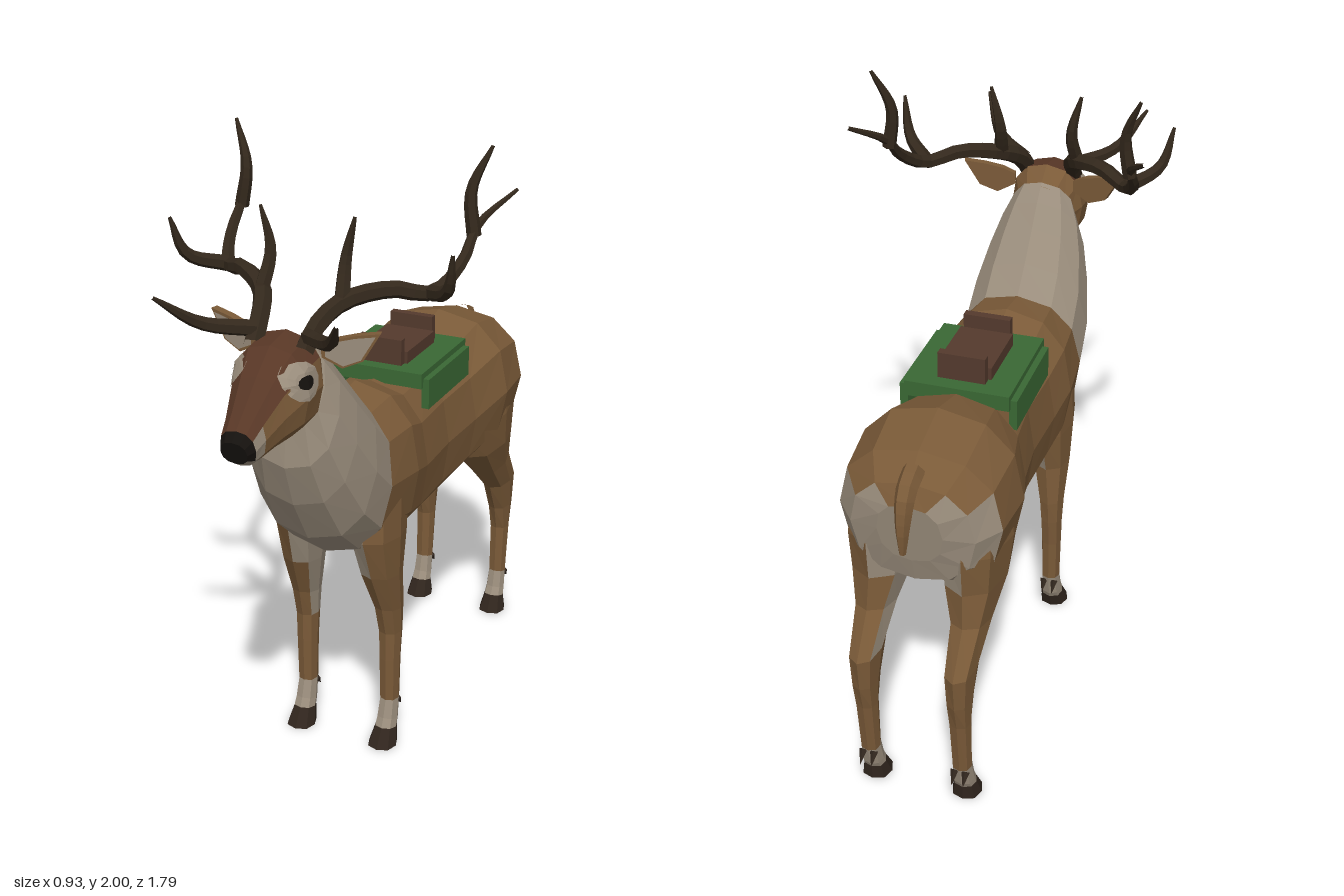
import * as THREE from 'three';

const mat = (name, color) => {
  const m = new THREE.MeshStandardMaterial({ color, flatShading: true });
  m.name = name;
  return m;
};
const coat = mat('coat', 0x7a5a38), cream = mat('cream', 0x9a8d7c), mask = mat('mask', 0x583726);
const horn = mat('horn', 0x33281c), hoof = mat('hoof', 0x30251d), black = mat('black', 0x15110e);
const cloth = mat('cloth', 0x3a6834), wood = mat('wood', 0x543a2d);

// Skin over rings. Section: [z1, y1, z2, y2, halfWidth, xCentre]; the ring spans point 1 to point 2.
// pick(segment, centroid, side) gives the material of each face.
function loft(name, sections, sides, pick, power = 0.85) {
  const pw = v => Math.sign(v) * Math.abs(v) ** power;
  const rings = sections.map(([z1, y1, z2, y2, w, xc = 0]) =>
    Array.from({ length: sides }, (_, j) => {
      const a = (j / sides) * Math.PI * 2, c = pw(Math.cos(a)) / 2;
      return new THREE.Vector3(xc + w * pw(Math.sin(a)), (y1 + y2) / 2 + (y1 - y2) * c, (z1 + z2) / 2 + (z1 - z2) * c);
    }));
  const tris = [];
  const mid = ps => ps.reduce((s, p) => s.add(p), new THREE.Vector3()).divideScalar(ps.length);
  const last = rings.length - 1;
  for (let i = 0; i < last; i++) {
    for (let j = 0; j < sides; j++) {
      const k = (j + 1) % sides;
      const [a, b, c, d] = [rings[i][j], rings[i][k], rings[i + 1][k], rings[i + 1][j]];
      const m = pick(i, mid([a, b, c, d]), j);
      tris.push([m, a, b, c], [m, a, c, d]);
    }
  }
  // End caps
  const c0 = mid(rings[0]), c1 = mid(rings[last]);
  for (let j = 0; j < sides; j++) {
    const k = (j + 1) % sides;
    tris.push([pick(-1, c0, j), c0, rings[0][k], rings[0][j]]);
    tris.push([pick(last, c1, j), c1, rings[last][j], rings[last][k]]);
  }
  // Turn all faces outward
  const volume = tris.reduce((s, [, a, b, c]) => s + a.clone().sub(c0).dot(b.clone().sub(c0).cross(c.clone().sub(c0))), 0);
  const mats = [...new Set(tris.map(t => t[0]))];
  const geo = new THREE.BufferGeometry(), pts = [];
  mats.forEach((m, n) => {
    const start = pts.length;
    for (const [tm, a, b, c] of tris) if (tm === m) pts.push(a, ...(volume < 0 ? [c, b] : [b, c]));
    geo.addGroup(start, pts.length - start, n);
  });
  geo.setFromPoints(pts);
  geo.computeVertexNormals();
  const mesh = new THREE.Mesh(geo, mats);
  mesh.name = name;
  return mesh;
}

// Tapered tube through points
function horned(name, points, r0, r1, material, n = 12) {
  const curve = new THREE.CatmullRomCurve3(points.map(p => new THREE.Vector3(...p)));
  const sides = 6, geo = new THREE.TubeGeometry(curve, n, r0, sides);
  const pos = geo.attributes.position, v = new THREE.Vector3();
  for (let i = 0; i <= n; i++) {
    const t = i / n, centre = curve.getPointAt(t), scale = 1 + (r1 / r0 - 1) * t ** 1.8;
    for (let j = 0; j <= sides; j++) {
      const q = i * (sides + 1) + j;
      v.fromBufferAttribute(pos, q).sub(centre).multiplyScalar(scale).add(centre);
      pos.setXYZ(q, v.x, v.y, v.z);
    }
  }
  const flat = geo.toNonIndexed();
  flat.computeVertexNormals();
  const mesh = new THREE.Mesh(flat, material);
  mesh.name = name;
  return mesh;
}

function box(name, w, h, d, x, y, z, material) {
  const mesh = new THREE.Mesh(new THREE.BoxGeometry(w, h, d), material);
  mesh.position.set(x, y, z);
  mesh.name = name;
  return mesh;
}

const BODY = [
  [-0.83, 1.09, -0.8, 0.88, 0.1], [-0.8, 1.15, -0.78, 0.8, 0.19], [-0.72, 1.21, -0.72, 0.76, 0.25],
  [-0.55, 1.25, -0.55, 0.72, 0.262], [-0.38, 1.2, -0.38, 0.68, 0.215], [-0.2, 1.18, -0.2, 0.66, 0.19],
  [0, 1.18, 0, 0.665, 0.2], [0.12, 1.225, 0.12, 0.69, 0.22], [0.24, 1.21, 0.34, 0.73, 0.205],
  [0.32, 1.29, 0.46, 0.83, 0.2], [0.4, 1.38, 0.55, 0.98, 0.175], [0.46, 1.45, 0.6, 1.12, 0.145],
  [0.51, 1.5, 0.59, 1.25, 0.11],
];
const HEAD = [
  [0.5, 1.49, 0.56, 1.27, 0.09], [0.57, 1.54, 0.6, 1.25, 0.122], [0.67, 1.525, 0.68, 1.25, 0.122],
  [0.75, 1.46, 0.75, 1.245, 0.092], [0.83, 1.385, 0.82, 1.235, 0.066], [0.875, 1.345, 0.855, 1.235, 0.056],
  [0.9, 1.32, 0.88, 1.25, 0.042],
];
const FRONT_LEG = [
  [0.33, 0.98, 0.08, 0.98, 0.07, 0.13], [0.345, 0.78, 0.1, 0.76, 0.075, 0.13], [0.3, 0.64, 0.13, 0.62, 0.06, 0.138],
  [0.24, 0.5, 0.125, 0.48, 0.042, 0.148], [0.215, 0.4, 0.13, 0.4, 0.037, 0.15], [0.215, 0.3, 0.14, 0.3, 0.034, 0.15],
  [0.212, 0.15, 0.145, 0.15, 0.031, 0.15], [0.23, 0.09, 0.16, 0.07, 0.034, 0.15], [0.245, 0.06, 0.17, 0.05, 0.036, 0.15],
  [0.285, 0, 0.185, 0, 0.048, 0.15],
];
const HIND_LEG = [
  [-0.42, 1.05, -0.76, 1.08, 0.09, 0.14], [-0.4, 0.87, -0.795, 0.9, 0.1, 0.145], [-0.46, 0.75, -0.785, 0.77, 0.09, 0.145],
  [-0.6, 0.63, -0.8, 0.66, 0.06, 0.15], [-0.71, 0.53, -0.895, 0.53, 0.045, 0.15], [-0.765, 0.42, -0.885, 0.42, 0.038, 0.15],
  [-0.79, 0.33, -0.865, 0.33, 0.034, 0.15], [-0.785, 0.15, -0.845, 0.14, 0.031, 0.15], [-0.77, 0.09, -0.83, 0.07, 0.034, 0.15],
  [-0.755, 0.06, -0.82, 0.05, 0.036, 0.15], [-0.72, 0, -0.82, 0, 0.048, 0.15],
];
const ANTLER = [
  ['beam', [[0.08, 1.5, 0.62], [0.09, 1.56, 0.56], [0.13, 1.61, 0.47], [0.24, 1.635, 0.38], [0.33, 1.615, 0.31],
    [0.38, 1.68, 0.2], [0.39, 1.77, 0.1], [0.46, 1.85, -0.03]], 0.03, 0.006],
  ['topTine', [[0.385, 1.74, 0.12], [0.37, 1.87, 0.11], [0.42, 2, 0.075]], 0.022, 0.005],
  ['outerTine', [[0.33, 1.615, 0.31], [0.42, 1.66, 0.4], [0.45, 1.78, 0.44]], 0.024, 0.005],
  ['innerTine', [[0.13, 1.6, 0.48], [0.12, 1.72, 0.43], [0.15, 1.85, 0.43]], 0.024, 0.005],
  ['browTine', [[0.085, 1.54, 0.6], [0.2, 1.57, 0.7], [0.28, 1.67, 0.82]], 0.025, 0.005],
];

export function createModel() {
  const root = new THREE.Group();
  root.name = 'stag';

  // Trunk with pale rump and neck
  root.add(loft('bodyAndNeck', BODY, 12, (i, c) => (i >= 8 || (i < 2 && c.y < 1.1) ? cream : coat)));

  // Head with dark forehead, pale lips and dark nose
  const head = loft('head', HEAD, 12, (i, c, j) => {
    const top = j < 2 || j > 9, low = j > 3 && j < 8;
    if (i >= 5) return low && i === 5 ? cream : black;
    if (i === 4 && !top) return cream;
    return top && i > 0 ? mask : coat;
  });
  root.add(head);

  // Thin round patch laid on the cheek
  const ray = new THREE.Raycaster(), aim = new THREE.Vector3(-1, 0, 0);
  const patch = (name, s, ru, rv, lift, material) => {
    const geo = new THREE.RingGeometry(0.001, 1, 12, 4), pos = geo.attributes.position;
    for (let i = 0; i < pos.count; i++) {
      const y = 1.435 + pos.getY(i) * rv, z = 0.675 - s * pos.getX(i) * ru;
      ray.set(new THREE.Vector3(1, y, z), aim);
      const hit = ray.intersectObject(head)[0];
      pos.setXYZ(i, s * ((hit ? hit.point.x : 0.1) + lift), y, z);
    }
    geo.computeVertexNormals();
    const mesh = new THREE.Mesh(geo, material);
    mesh.name = name;
    root.add(mesh);
  };

  const leaf = (s, k) => new THREE.Shape(
    [[0, -0.02], [0.06, -0.05], [0.12, -0.025], [0.17, 0.06], [0.1, 0.05], [0.04, 0.035], [0, 0.015]]
      .map(([x, y]) => new THREE.Vector2(s * (0.08 + (x - 0.08) * k), y * k)));

  for (const s of [1, -1]) {
    const side = s > 0 ? 'left' : 'right';
    patch(side + 'EyePatch', s, 0.066, 0.055, 0.004, cream);
    patch(side + 'Eye', s, 0.03, 0.02, 0.008, black);

    // Ear: brown shell with pale inner face
    const ear = new THREE.Group();
    ear.name = side + 'Ear';
    const shell = new THREE.Mesh(new THREE.ExtrudeGeometry(leaf(s, 1), { depth: 0.025, bevelEnabled: false }), coat);
    const inner = new THREE.Mesh(new THREE.ShapeGeometry(leaf(s, 0.85)), cream);
    shell.name = 'earShell';
    inner.name = 'earInside';
    inner.position.z = 0.028;
    ear.add(shell, inner);
    ear.position.set(0.1 * s, 1.49, 0.54);
    ear.rotation.y = 0.25 * s;
    root.add(ear);

    // Antler
    const antler = new THREE.Group();
    antler.name = side + 'Antler';
    for (const [name, pts, r0, r1] of ANTLER) {
      antler.add(horned(name, pts.map(([x, y, z]) => [x * s, y, z]), r0, r1, horn, name === 'beam' ? 20 : 9));
    }
    root.add(antler);

    // Legs with pale inner thighs and fetlocks, dark hooves and dewclaws
    for (const [name, rows, clawZ] of [['FrontLeg', FRONT_LEG, 0.15], ['HindLeg', HIND_LEG, -0.845]]) {
      const n = rows.length - 1;
      root.add(loft(side + name, rows.map(r => [...r.slice(0, 5), r[5] * s]), 8, (i, c) => {
        if (i >= n - 1) return hoof;
        if (i >= n - 3) return cream;
        return i < 4 && c.x * s < 0.115 ? cream : coat;
      }));
      for (const d of [-0.018, 0.018]) {
        const claw = new THREE.Mesh(new THREE.ConeGeometry(0.014, 0.05, 5), hoof);
        claw.name = side + name + 'Dewclaw';
        claw.position.set(0.15 * s + d, 0.115, clawZ - 0.008);
        claw.rotation.x = -2.4;
        root.add(claw);
      }
    }
    root.add(box(side + 'SaddleFlap', 0.025, 0.1, 0.34, 0.1725 * s, 1.15, -0.205, cloth));
  }

  // Tail
  root.add(horned('tail', [[0, 1.17, -0.76], [0, 1.14, -0.83], [0, 1.05, -0.865], [0, 0.955, -0.872]], 0.034, 0.01, coat, 8));

  // Saddle cloth, seat and end boards
  root.add(box('saddleCloth', 0.33, 0.05, 0.37, 0, 1.195, -0.205, cloth));
  root.add(box('saddleSeat', 0.17, 0.05, 0.22, 0, 1.235, -0.2, wood));
  for (const z of [-0.078, -0.327]) root.add(box('saddleBoard', 0.15, 0.09, 0.027, 0, 1.26, z, wood));
  return root;
}
